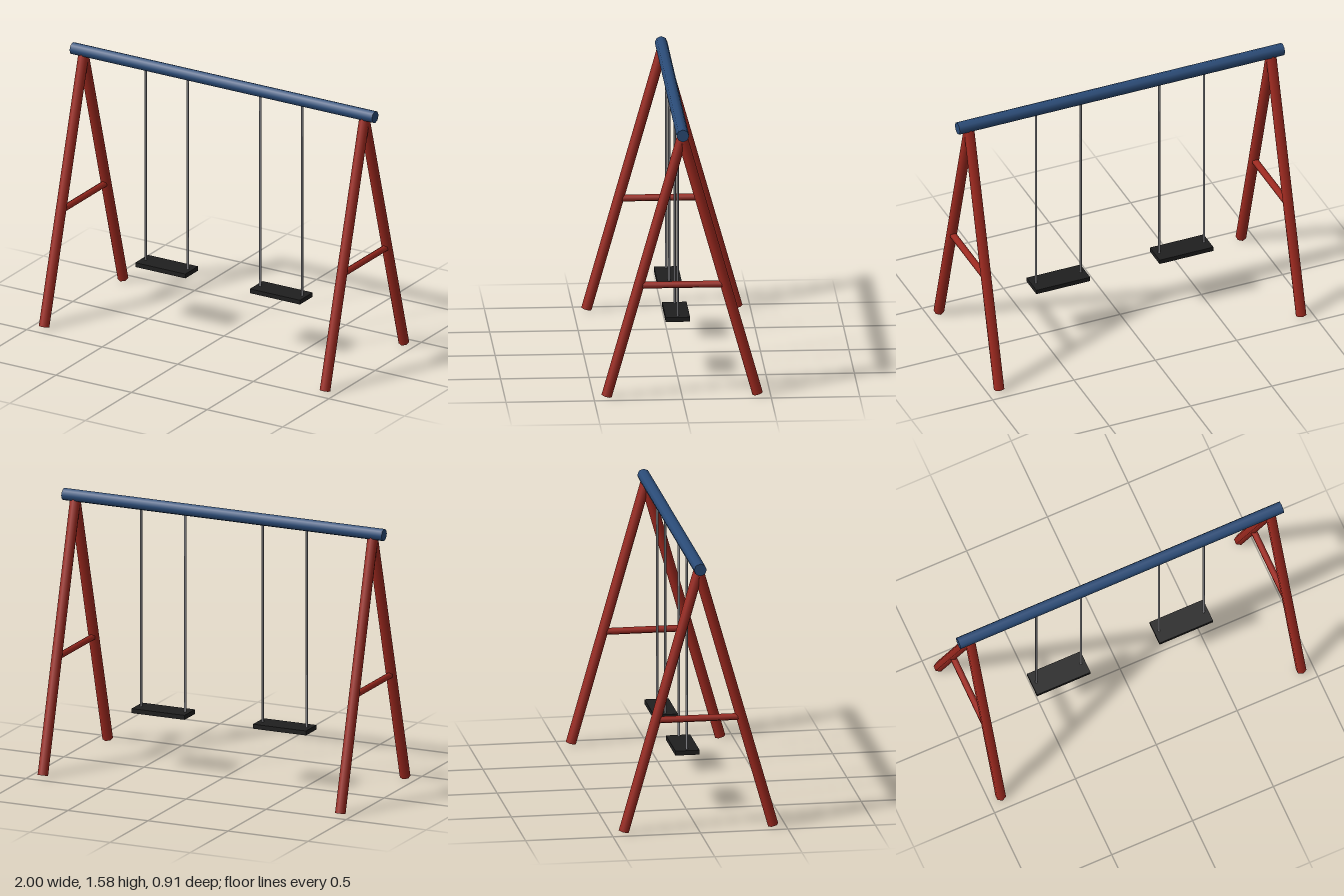
import * as THREE from 'three';

const paint = (name, color) => {
  const m = new THREE.MeshStandardMaterial({ color });
  m.name = name;
  return m;
};

export function createModel() {
  const group = new THREE.Group();
  const blue = paint('blue paint', 0x2b4c78);
  const red = paint('red paint', 0xa02a20);
  const steel = paint('grey chain', 0x8e8e92);
  const rubber = paint('black rubber', 0x1f1f1f);
  const up = new THREE.Vector3(0, 1, 0);

  // Round bar between two points
  function bar(name, a, b, radius, sides, material) {
    const from = new THREE.Vector3(...a), dir = new THREE.Vector3(...b).sub(from);
    const mesh = new THREE.Mesh(new THREE.CylinderGeometry(radius, radius, dir.length(), sides), material);
    mesh.position.copy(from).addScaledVector(dir, 0.5);
    mesh.quaternion.setFromUnitVectors(up, dir.normalize());
    mesh.name = name;
    group.add(mesh);
  }

  bar('topBeam', [-1, 1.541, 0], [1, 1.541, 0], 0.036, 8, blue);

  for (const side of [-1, 1]) {
    // A-frame at each end
    const x = side * 0.929;
    for (const z of [-1, 1]) bar('leg', [x, 0.008, z * 0.427], [x, 1.517, 0], 0.03, 6, red);
    bar('crossBrace', [x, 0.653, -0.235], [x, 0.653, 0.235], 0.02, 6, red);

    // Hanging swing
    const cx = side * 0.379;
    for (const s of [-1, 1]) bar('chain', [cx + s * 0.138, 0.35, 0], [cx + s * 0.138, 1.53, 0], 0.0068, 6, steel);
    const seat = new THREE.Mesh(new THREE.BoxGeometry(0.331, 0.026, 0.138), rubber);
    seat.position.set(cx, 0.342, 0);
    seat.name = 'seat';
    group.add(seat);
  }
  return group;
}
